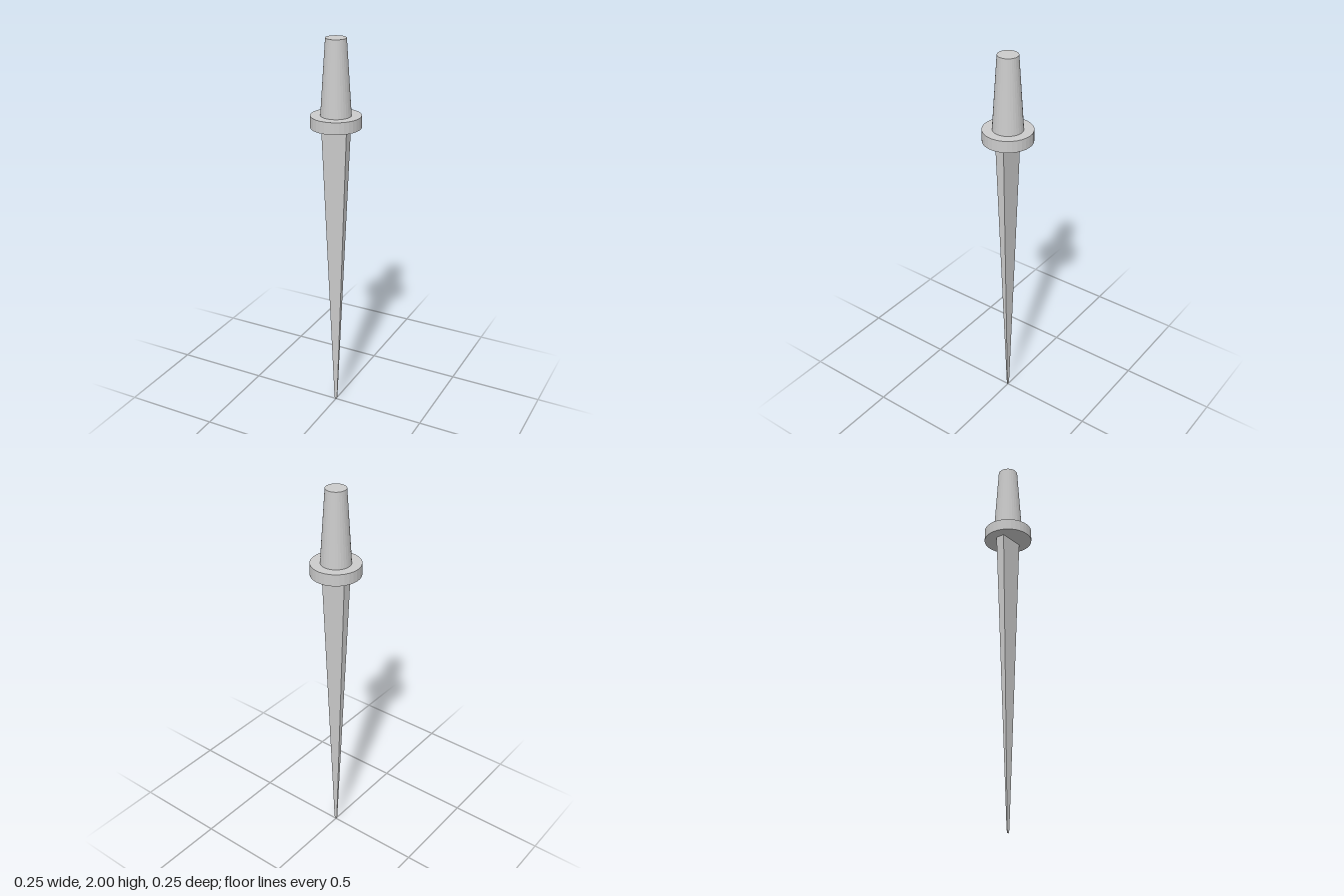
import * as THREE from 'three';

const material = new THREE.MeshStandardMaterial({ color: 0xcccccc, flatShading: true });

// Round part between two heights
function roundPart(name, rTop, rBottom, y0, y1) {
  const geometry = new THREE.CylinderGeometry(rTop, rBottom, y1 - y0, 32);
  geometry.translate(0, (y0 + y1) / 2, 0);
  const mesh = new THREE.Mesh(geometry, material);
  mesh.name = name;
  return mesh;
}

// Four-sided blade lofted through [y, half width, half depth] sections
function bladePart(sections) {
  const geometry = new THREE.BoxGeometry(2, 1, 2, 1, sections.length - 1, 1);
  const p = geometry.attributes.position;
  for (let i = 0; i < p.count; i++) {
    const row = Math.round((p.getY(i) + 0.5) * (sections.length - 1));
    const [y, w, d] = sections[row];
    p.setXYZ(i, p.getX(i) * w, y, p.getZ(i) * d);
  }
  geometry.computeVertexNormals();
  const mesh = new THREE.Mesh(geometry, material);
  mesh.name = 'blade';
  return mesh;
}

export function createModel() {
  const group = new THREE.Group();
  group.name = 'dagger';
  group.add(
    roundPart('grip', 0.051, 0.076, 1.627, 2),
    roundPart('guard', 0.125, 0.125, 1.567, 1.627),
    // Long taper with a short narrowed tip
    bladePart([[0, 0.004, 0.001], [0.015, 0.008, 0.002], [1.57, 0.069, 0.024]]),
  );
  return group;
}
